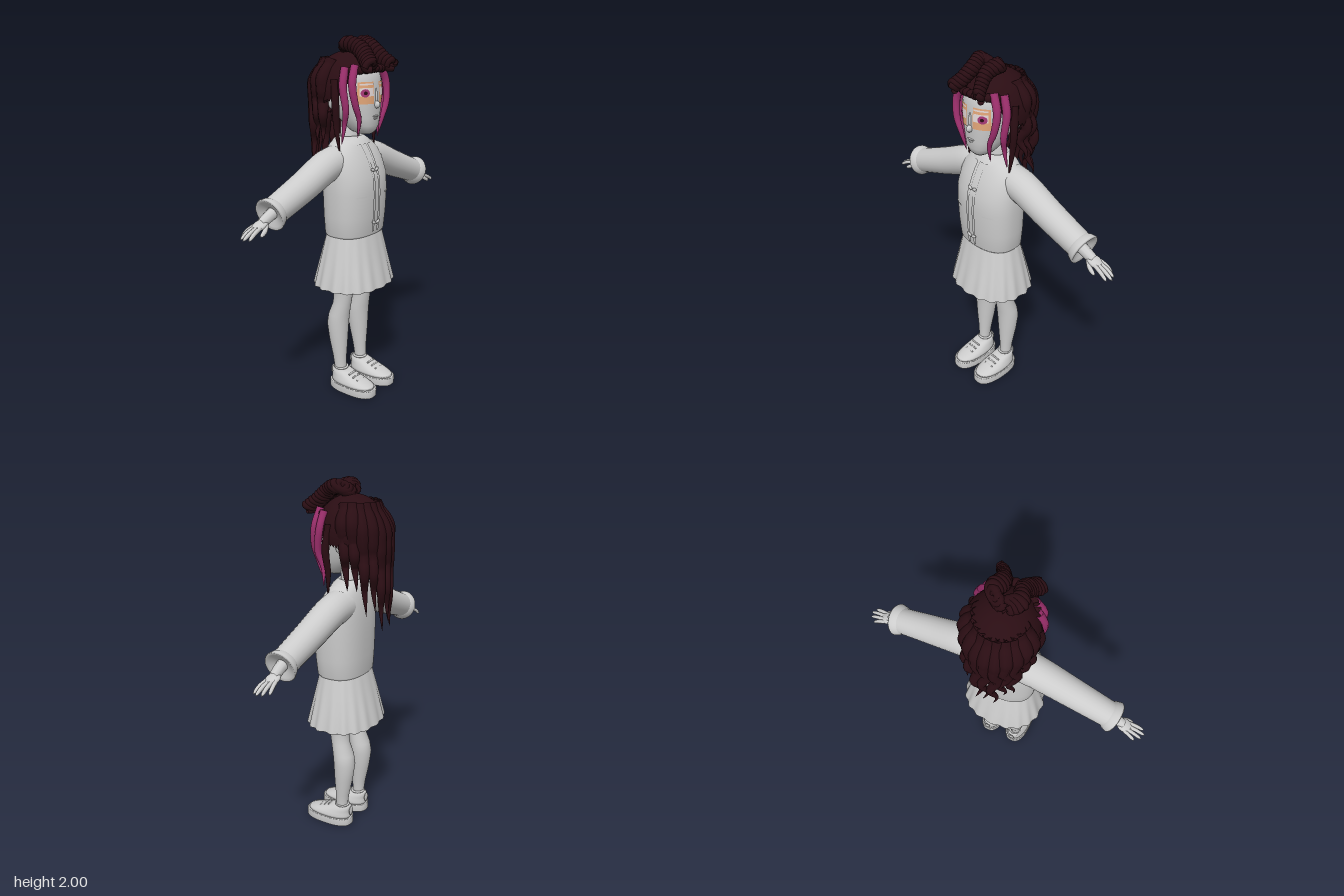
import * as THREE from 'three';

const mat = (name, color) => Object.assign(new THREE.MeshStandardMaterial({ color, side: THREE.DoubleSide }), { name });
const V = (p) => new THREE.Vector3(...p);
const { smoothstep, lerp } = THREE.MathUtils;

// Sections are [y, halfWidth, halfDepth, centreZ], rising in y.
const HEAD = [[1.495, .035, .04, .1], [1.51, .06, .065, .09], [1.54, .083, .09, .078], [1.58, .1, .11, .06],
  [1.64, .118, .133, .04], [1.7, .128, .145, .028], [1.77, .135, .148, .02], [1.82, .13, .14, .015],
  [1.86, .1, .11, .01], [1.89, .05, .05, 0]];
const TORSO = [[.935, .172, .122, .033], [.95, .184, .132, .034], [1.05, .194, .138, .036], [1.18, .199, .142, .037],
  [1.27, .2, .138, .033], [1.35, .193, .12, .02], [1.4, .175, .102, .012], [1.44, .135, .083, .005], [1.47, .08, .062, 0]];

// Depth of a lofted surface's front at (x, y).
function frontZ(sections, e, x, y) {
  let i = 0;
  while (i < sections.length - 2 && sections[i + 1][0] < y) i++;
  const [a, b] = [sections[i], sections[i + 1]];
  const t = (y - a[0]) / (b[0] - a[0]);
  const [rx, rz, cz] = [1, 2, 3].map((k) => lerp(a[k], b[k], t));
  return cz + rz * Math.pow(Math.max(0, 1 - Math.pow(Math.abs(x) / rx, e)), 1 / e);
}

// Smooth skin over superellipse rings; ripple(angle, row) scales the radius.
function loft(sections, { e = 2, n = 40, caps = true, ripple = () => 1 } = {}) {
  const pos = [], idx = [];
  const pw = (v) => Math.sign(v) * Math.pow(Math.abs(v), 2 / e);
  sections.forEach(([y, rx, rz, cz = 0, cx = 0], i) => {
    for (let j = 0; j < n; j++) {
      const a = (j / n) * Math.PI * 2, r = ripple(a, i / (sections.length - 1));
      pos.push(cx + rx * r * pw(Math.sin(a)), y, cz + rz * r * pw(Math.cos(a)));
      if (i) {
        const k = (j + 1) % n, lo = (i - 1) * n, hi = i * n;
        idx.push(lo + j, lo + k, hi + k, lo + j, hi + k, hi + j);
      }
    }
  });
  if (caps) [0, sections.length - 1].forEach((row, top) => {
    const [y, , , cz = 0, cx = 0] = sections[row], c = pos.length / 3;
    pos.push(cx, y, cz);
    for (let j = 0; j < n; j++) {
      const p = row * n + j, q = row * n + (j + 1) % n;
      idx.push(c, top ? p : q, top ? q : p);
    }
  });
  const g = new THREE.BufferGeometry();
  g.setAttribute('position', new THREE.Float32BufferAttribute(pos, 3));
  g.setIndex(idx);
  g.computeVertexNormals();
  return g;
}

// Tube along points whose radius follows width(t).
function strand(points, width, seg = 24, sides = 10) {
  const curve = new THREE.CatmullRomCurve3(points.map(V));
  const g = new THREE.TubeGeometry(curve, seg, 1, sides);
  const p = g.attributes.position, v = new THREE.Vector3();
  for (let k = 0; k < p.count; k++) {
    const t = Math.floor(k / (sides + 1)) / seg, c = curve.getPointAt(t);
    v.fromBufferAttribute(p, k).sub(c).multiplyScalar(width(t)).add(c);
    p.setXYZ(k, v.x, v.y, v.z);
  }
  return g;
}

// Lay a flat geometry onto the front of a loft.
function drape(g, x, y, sections, e, off) {
  const p = g.attributes.position;
  for (let k = 0; k < p.count; k++) {
    const px = p.getX(k) + x, py = p.getY(k) + y;
    p.setXYZ(k, px, py, frontZ(sections, e, px, py) + off);
  }
  g.computeVertexNormals();
  return g;
}

export function createModel() {
  const root = new THREE.Group();
  const grey = mat('plain grey', 0xcccccc), dark = mat('dark hair', 0x2a0d13), pink = mat('pink hair', 0x9c2f6c);
  const peach = mat('peach', 0xf0b080), white = mat('eye white', 0xf4e8e6), iris = mat('iris', 0xa83a78);
  const add = (name, g, m = grey) => {
    const mesh = new THREE.Mesh(g, m);
    mesh.name = name;
    root.add(mesh);
    return mesh;
  };
  const blob = (name, at, size, m = grey) => {
    const b = add(name, new THREE.SphereGeometry(1, 20, 14), m);
    b.position.set(...at);
    b.scale.set(...size);
    return b;
  };

  // Head and neck
  add('head', loft(HEAD, { e: 2.3, n: 48 }));
  add('neck', loft([[1.4, .075, .065, 0], [1.46, .058, .05, 0], [1.58, .056, .052, .01]]));
  blob('nose', [0, 1.65, .172], [.014, .02, .024]);
  blob('noseBridge', [0, 1.69, .168], [.009, .045, .012]);
  blob('upperLip', [0, 1.59, .165], [.026, .006, .012]);
  blob('lowerLip', [0, 1.578, .163], [.02, .006, .012]);

  // Jacket with front bands, ties and collar
  add('jacket', loft(TORSO, { e: 2.4, n: 56 }));
  add('collar', loft([[1.435, .125, .095, .008], [1.455, .115, .085, .004], [1.478, .075, .065, 0], [1.46, .06, .052, 0]], { caps: false }));
  add('frontOpening', drape(new THREE.PlaneGeometry(.02, .47, 2, 30), 0, 1.2, TORSO, 2.4, .002));

  // Pleated skirt
  add('skirt', loft([[.645, .236, .197, .03], [.65, .238, .199, .03], [.75, .218, .175, .03], [.85, .197, .15, .031], [.96, .172, .122, .033]],
    { e: 2.3, n: 128, caps: false, ripple: (a, t) => 1 + .03 * (1 - t) * Math.cos(18 * a) }));

  for (const s of [1, -1]) {
    const m = (pts) => pts.map(([x, y, z]) => [s * x, y, z]);

    // Face details
    blob('ear', [s * .133, 1.68, -.015], [.016, .055, .032]);
    add('eyePatch', drape(new THREE.PlaneGeometry(.082, .112, 16, 12), s * .063, 1.712, HEAD, 2.3, .003), peach);
    add('eyeWhite', drape(new THREE.PlaneGeometry(.07, .042, 14, 6), s * .062, 1.717, HEAD, 2.3, .0045), white);
    add('eyelid', drape(new THREE.PlaneGeometry(.07, .008, 14, 2), s * .062, 1.756, HEAD, 2.3, .0045), white);
    add('iris', drape(new THREE.RingGeometry(.008, .021, 20, 2), s * .074, 1.712, HEAD, 2.3, .006), iris);
    add('pupil', drape(new THREE.CircleGeometry(.009, 16), s * .074, 1.712, HEAD, 2.3, .007), dark);

    // Front band and ties
    add('frontBand', drape(new THREE.PlaneGeometry(.018, .47, 2, 30), s * .021, 1.2, TORSO, 2.4, .007));
    for (const y of [1.3, 1.01]) {
      const z = frontZ(TORSO, 2.4, .02, y) + .008;
      blob('tieLoop', [s * .017, y + .005, z], [.017, .009, .007]).rotation.z = s * .4;
    }
    add('pocket', drape(new THREE.PlaneGeometry(.06, .008, 6, 1), s * .11, 1.17, TORSO, 2.4, .004));

    // Sleeve and flared cuff
    add('sleeve', strand(m([[.1, 1.35, 0], [.2, 1.335, 0], [.4, 1.258, .005], [.63, 1.174, .008]]),
      (t) => lerp(.09, .071, t), 24, 24));
    const cuff = add('cuff', new THREE.LatheGeometry([[.07, -.03], [.08, -.015], [.088, .012], [.084, .02], [.07, .012], [.03, -.005]]
      .map((p) => new THREE.Vector2(...p)), 32));
    cuff.position.set(s * .63, 1.174, .008);
    cuff.rotation.z = -s * 1.92;

    // Hand
    add('wrist', strand(m([[.58, 1.19, .008], [.64, 1.168, .008], [.7, 1.138, .005]]), (t) => lerp(.034, .026, t)));
    blob('palm', [s * .71, 1.132, .004], [.047, .018, .037]).rotation.z = -s * .38;
    [[-.026, .79], [-.009, .82], [.01, .83], [.028, .815]].forEach(([z, tip]) =>
      add('finger', strand(m([[.72, 1.13, z * .9], [lerp(.72, tip, .55), 1.112, z * 1.2], [tip, 1.086, z * 1.35]]),
        (t) => .0105 * Math.sqrt(1.02 - t ** 6), 12, 8)));
    add('thumb', strand(m([[.68, 1.138, .02], [.71, 1.115, .042], [.75, 1.092, .05]]), (t) => .012 * Math.sqrt(1.02 - t ** 6), 12, 8));

    // Leg and shorts
    add('leg', loft([[.06, .032, .036, .005], [.13, .033, .035, .005], [.2, .04, .04, 0], [.3, .053, .053, -.008], [.4, .063, .062, -.013],
      [.46, .061, .06, -.005], [.53, .052, .053, .015], [.6, .052, .056, .024], [.7, .064, .068, .025], [.9, .08, .085, .028]]
      .map(([y, a, b, z]) => [y, a, b, z, s * lerp(.096, .088, smoothstep(y, .3, .7))]), { n: 28 }));
    add('shorts', loft([[.71, .073, .077, .025, s * .088], [.93, .088, .095, .03, s * .088]], { caps: false, n: 28 }));

    // Shoe
    const x = s * .09;
    add('sole', loft([[0, .071, .145, .093, x], [.004, .076, .15, .093, x], [.044, .077, .15, .093, x], [.048, .073, .146, .093, x]], { e: 2.5 }));
    add('shoe', loft([[.045, .07, .142, .093, x], [.06, .069, .137, .089, x], [.075, .063, .115, .069, x],
      [.092, .055, .087, .042, x], [.112, .047, .06, .012, x], [.118, .039, .05, .01, x]], { e: 2.3 }));
    for (let k = 0; k < 3; k++) {
      const lace = add('lace', new THREE.CapsuleGeometry(.005, .055, 4, 8));
      lace.position.set(x, .083 + k * .011, .143 - k * .028);
      lace.rotation.z = Math.PI / 2;
    }
    const ring = add('ankleBand', new THREE.TorusGeometry(.036, .007, 8, 24));
    ring.position.set(x, .125, .006);
    ring.rotation.x = Math.PI / 2;
    blob('heelTab', [x, .09, -.053], [.02, .027, .006]);

    // Coloured and dark locks framing the face
    const lock = (t) => .021 * Math.pow(Math.max(.002, 1 - t ** 2.5), .8);
    add('pinkLock', strand(m([[.11, 1.85, .115], [.148, 1.76, .128], [.138, 1.66, .14], [.105, 1.58, .14], [.09, 1.48, .12]]), lock), pink);
    add('pinkLock', strand(m([[.14, 1.84, .075], [.17, 1.75, .085], [.165, 1.63, .1], [.15, 1.55, .08], [.16, 1.45, .07]]), lock), pink);
    add('sideLock', strand(m([[.165, 1.78, .03], [.18, 1.65, .045], [.165, 1.53, .04], [.152, 1.4, .05]]), lock), dark);

    // Braid rolled over the crown: three strands wound round one path
    const path = new THREE.CatmullRomCurve3(m([[.015, 1.93, 0], [.065, 1.958, .035], [.05, 1.935, .1], [.065, 1.885, .155], [.095, 1.845, .2]]).map(V));
    for (let k = 0; k < 3; k++) {
      const pts = [];
      for (let i = 0; i <= 30; i++) {
        const c = path.getPointAt(i / 30), a = i * .95 + k * 2.094;
        pts.push([c.x + .026 * Math.cos(a), c.y + .02 * Math.sin(a), c.z + .018 * Math.sin(a + .8)]);
      }
      add('braid', strand(pts, (t) => .021 - .004 * t, 90, 8), dark);
    }
    // Rolled hair along the hairline
    for (let k = 0; k < 5; k++) blob('hairlineCurl', [s * (.015 + k * .026), 1.835 - k * .003, .172 - k * k * .0042], [.023, .021, .024], dark);
  }

  // Hair cap with a lifted front edge
  const cap = new THREE.SphereGeometry(1, 64, 24), p = cap.attributes.position, uv = cap.attributes.uv;
  for (let k = 0; k < p.count; k++) {
    const a = Math.round(uv.getX(k) * 64) / 64 * Math.PI * 2, d = Math.min(a, Math.PI * 2 - a);
    const t = (1 - uv.getY(k)) * (1.12 + .72 * smoothstep(d, .55, 1.5) + .5 * smoothstep(d, 1.5, 2.5));
    p.setXYZ(k, .186 * Math.sin(t) * Math.sin(a), 1.72 + .2 * Math.cos(t), -.008 + .192 * Math.sin(t) * Math.cos(a));
  }
  cap.computeVertexNormals();
  add('hairCap', cap, dark);

  // Wavy locks down the back
  const count = 11;
  for (let k = 0; k < count; k++) {
    const u = (k / (count - 1)) * 2 - 1, a = u * 1.45, pts = [];
    const tip = 1.2 + .24 * Math.abs(u) ** 1.5 + (k % 2) * .07;
    for (let i = 0; i <= 14; i++) {
      const t = i / 14, y = lerp(1.87, tip, t), r = lerp(.1, .168, smoothstep(t, 0, .22));
      const wave = .015 * Math.sin(t * 17 + k * .5) * smoothstep(t, .2, .6);
      pts.push([r * Math.sin(a) * (1 - .12 * t) + wave - .006, y, -.02 - r * Math.cos(a) - .035 * t * (1 - .4 * Math.abs(u)) - wave * .7]);
    }
    add('backLock', strand(pts, (t) => .042 * Math.pow(Math.max(.001, 1 - t ** 1.8), .9), 40, 10), dark);
  }
  return root;
}
